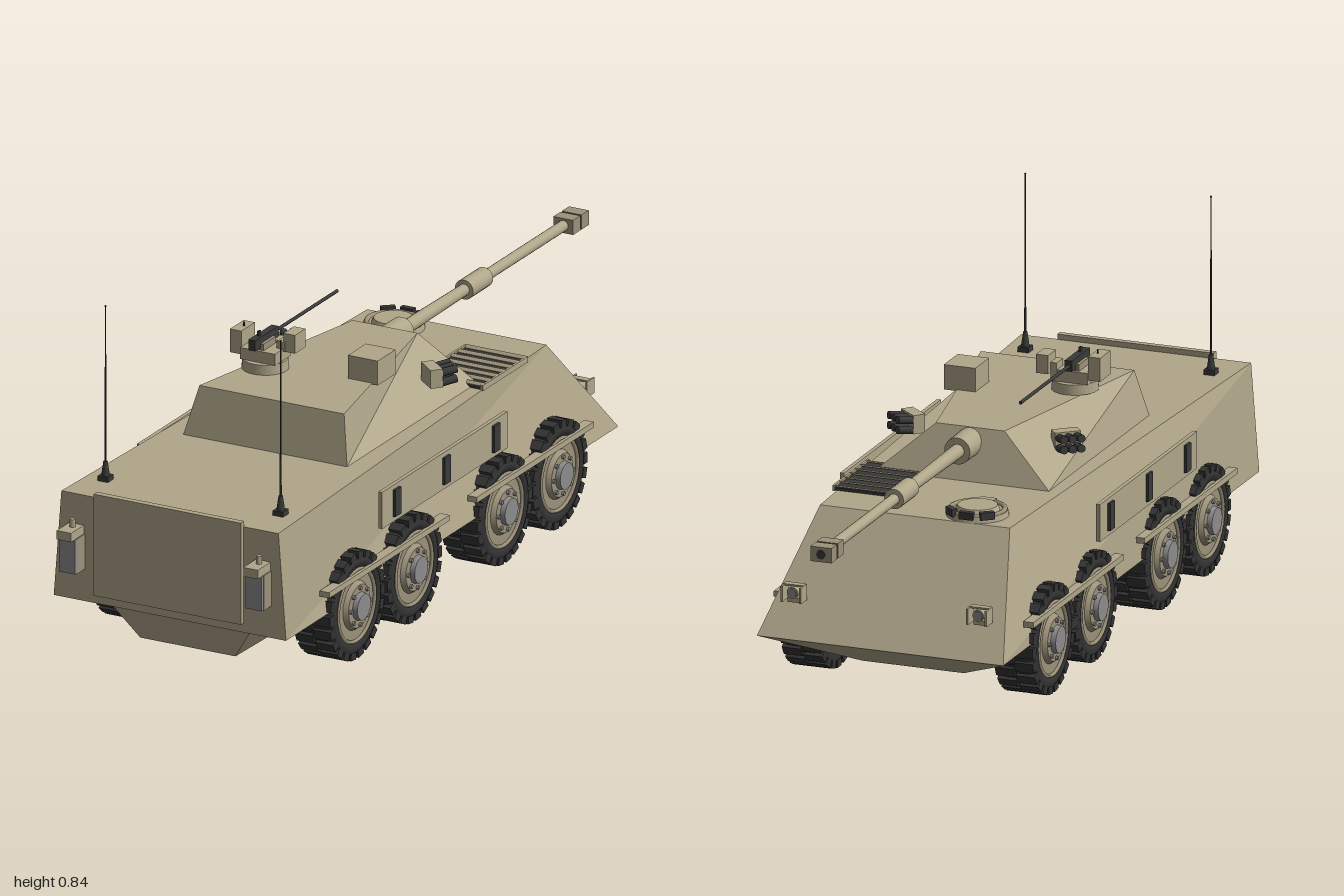
import * as THREE from 'three';

const mat = (color) => new THREE.MeshStandardMaterial({ color });
const TAN = mat(0xb0a68a), RIM = mat(0x9c927a), DARK = mat(0x3a3a3a), RUBBER = mat(0x333333), GREY = mat(0x8c8c8c);

function add(parent, name, geo, material, x = 0, y = 0, z = 0) {
  const m = new THREE.Mesh(geo, material);
  m.name = name;
  m.position.set(x, y, z);
  parent.add(m);
  return m;
}
const box = (p, name, material, w, h, d, x, y, z) => add(p, name, new THREE.BoxGeometry(w, h, d), material, x, y, z);

// cylinder along 'x', 'y' or 'z'
function cyl(p, name, material, axis, r1, r2, len, x, y, z, seg = 20) {
  const g = new THREE.CylinderGeometry(r2, r1, len, seg);
  if (axis === 'x') g.rotateZ(-Math.PI / 2);
  if (axis === 'z') g.rotateX(Math.PI / 2);
  return add(p, name, g, material, x, y, z);
}
function group(parent, name, x = 0, y = 0, z = 0) {
  const g = new THREE.Group();
  g.name = name;
  g.position.set(x, y, z);
  parent.add(g);
  return g;
}

// six-sided block between two levels, each { y, rear: [z, halfWidth], front: [z, halfWidth] }
function wedge(lo, hi) {
  const ring = ({ y, rear, front }) => [
    [rear[1], y, rear[0]], [front[1], y, front[0]], [-front[1], y, front[0]], [-rear[1], y, rear[0]]];
  const a = ring(lo), b = ring(hi), pos = [];
  const quad = (p, q, r, s) => pos.push(...p, ...q, ...r, ...p, ...r, ...s);
  for (let i = 0; i < 4; i++) {
    const j = (i + 1) % 4;
    quad(a[i], a[j], b[j], b[i]);
  }
  quad(b[0], b[1], b[2], b[3]);
  quad(a[3], a[2], a[1], a[0]);
  const g = new THREE.BufferGeometry();
  g.setAttribute('position', new THREE.Float32BufferAttribute(pos, 3));
  g.computeVertexNormals();
  return g;
}

// wheel with its outer face towards +x
function wheel(parent, side, z) {
  const w = group(parent, 'wheel', side * 0.265, 0.13, z);
  if (side < 0) w.rotation.y = Math.PI;
  const profile = [[0.085, -0.044], [0.108, -0.05], [0.12, -0.043], [0.123, -0.03],
    [0.123, 0.03], [0.12, 0.043], [0.108, 0.05], [0.092, 0.047], [0.088, 0.036]];
  const tyre = new THREE.LatheGeometry(profile.map(([r, t]) => new THREE.Vector2(r, t)), 36);
  tyre.rotateZ(-Math.PI / 2);
  add(w, 'tyre', tyre, RUBBER);
  const n = 22;
  for (let i = 0; i < n * 2; i++) { // two staggered rows of tread blocks
    const row = i % 2, a = (i / (n * 2)) * Math.PI * 2;
    const lug = box(w, 'treadBlock', RUBBER, 0.047, 0.018, 0.025, row ? 0.025 : -0.025, Math.cos(a) * 0.121, Math.sin(a) * 0.121);
    lug.rotation.x = a;
  }
  cyl(w, 'innerDisc', DARK, 'x', 0.09, 0.09, 0.02, -0.036, 0, 0, 28);
  cyl(w, 'rim', RIM, 'x', 0.091, 0.086, 0.07, 0.008, 0, 0, 32);
  const lip = new THREE.TorusGeometry(0.087, 0.005, 6, 32).rotateY(Math.PI / 2);
  add(w, 'rimLip', lip, RIM, 0.045);
  cyl(w, 'hubPlate', RIM, 'x', 0.06, 0.052, 0.012, 0.048, 0, 0, 24);
  cyl(w, 'hubCap', GREY, 'x', 0.035, 0.032, 0.02, 0.056, 0, 0, 16);
  for (let i = 0; i < 8; i++) {
    const a = (i / 8) * Math.PI * 2;
    cyl(w, 'wheelNut', GREY, 'x', 0.005, 0.005, 0.008, 0.056, Math.cos(a) * 0.045, Math.sin(a) * 0.045, 6);
  }
}

function buildSide(root, s) {
  for (const z of [0.617, 0.345, -0.083, -0.345]) wheel(root, s, z);
  // fender rails
  for (const [z0, z1] of [[0.195, 0.765], [-0.49, 0.065]])
    box(root, 'fenderRail', TAN, 0.025, 0.014, z1 - z0, s * 0.309, 0.206, (z0 + z1) / 2);
  // stand-off side panel with dark straps
  box(root, 'sidePanel', TAN, 0.01, 0.09, 0.595, s * 0.317, 0.331, 0.2175);
  for (const z of [0.45, 0.215, -0.02]) box(root, 'panelStrap', DARK, 0.007, 0.066, 0.028, s * 0.325, 0.332, z);

  // rear lamp unit
  const lamp = group(root, 'rearLamp', s * 0.245, 0, 0);
  box(lamp, 'lampHousing', RIM, 0.044, 0.086, 0.04, 0, 0.272, 0.957);
  box(lamp, 'lampFace', GREY, 0.042, 0.084, 0.01, 0, 0.272, 0.98);
  box(lamp, 'lampHood', TAN, 0.038, 0.022, 0.062, 0, 0.325, 0.969);
  cyl(lamp, 'lampStud', TAN, 'y', 0.007, 0.007, 0.02, 0, 0.345, 0.96, 10);

  // whip aerial
  const aerial = group(root, 'aerial', s * 0.23, 0.41, 0.83);
  box(aerial, 'aerialFoot', DARK, 0.027, 0.012, 0.027, 0, 0.006, 0);
  cyl(aerial, 'aerialSpring', DARK, 'y', 0.01, 0.005, 0.035, 0, 0.029, 0, 12);
  cyl(aerial, 'aerialRod', DARK, 'y', 0.0025, 0.0013, 0.38, 0, 0.237, 0, 6);
  add(aerial, 'aerialTip', new THREE.SphereGeometry(0.0025, 8, 6), DARK, 0, 0.427, 0);

  // headlight on a bracket with a guard frame
  const head = group(root, 'headlight', s * 0.23, 0.25, -0.585);
  box(head, 'lightBracket', TAN, 0.03, 0.012, 0.05, 0, -0.017, 0.015);
  cyl(head, 'lightBody', TAN, 'z', 0.014, 0.014, 0.028, 0, 0.002, -0.004, 14);
  cyl(head, 'lightLens', GREY, 'z', 0.011, 0.011, 0.006, 0, 0.002, -0.018, 14);
  for (const t of [-1, 1]) box(head, 'lightGuard', TAN, 0.005, 0.038, 0.036, t * 0.023, 0, -0.01);
  box(head, 'lightGuardTop', TAN, 0.05, 0.004, 0.018, 0, 0.019, -0.004);

  // smoke launchers, angled outward
  const smoke = group(root, 'smokeLauncher', s * 0.197, 0.482, 0.03);
  smoke.rotation.y = -s * 0.7;
  box(smoke, 'launcherMount', TAN, 0.062, 0.045, 0.03, 0, 0, 0.012);
  for (const row of [-1, 1]) for (const c of [-1, 0, 1]) {
    const tube = cyl(smoke, 'launcherTube', DARK, 'z', 0.0095, 0.0095, 0.045, c * 0.021, row * 0.012, -0.018, 12);
    tube.rotation.x = 0.15;
  }
}

function buildHull(root) {
  add(root, 'upperHull', wedge(
    { y: 0.15, rear: [0.94, 0.305], front: [-0.635, 0.305] },
    { y: 0.41, rear: [0.94, 0.285], front: [-0.42, 0.235] }), TAN);
  add(root, 'lowerHull', wedge(
    { y: 0.05, rear: [0.855, 0.125], front: [-0.43, 0.125] },
    { y: 0.15, rear: [0.895, 0.195], front: [-0.635, 0.305] }), TAN);
  box(root, 'rearDoor', TAN, 0.387, 0.25, 0.016, 0, 0.298, 0.945);

  // engine grille
  box(root, 'grilleBed', DARK, 0.16, 0.008, 0.21, 0.167, 0.413, -0.2);
  for (let i = 0; i < 7; i++) {
    const slat = box(root, 'grilleSlat', RIM, 0.16, 0.004, 0.013, 0.167, 0.419, -0.3 + i * 0.033);
    slat.rotation.x = 0.3;
  }
  for (const x of [0.087, 0.247]) box(root, 'grilleFrame', TAN, 0.006, 0.014, 0.215, x, 0.415, -0.2);

  // driver hatch with vision blocks
  const hatch = group(root, 'driverHatch', -0.127, 0.41, -0.35);
  cyl(hatch, 'hatchBase', TAN, 'y', 0.073, 0.07, 0.014, 0, 0.006, 0, 28);
  add(hatch, 'hatchRing', new THREE.TorusGeometry(0.063, 0.006, 8, 32).rotateX(Math.PI / 2), RIM, 0, 0.014, 0);
  cyl(hatch, 'hatchLid', TAN, 'y', 0.052, 0.046, 0.012, 0, 0.018, 0, 28);
  box(hatch, 'hatchHinge', TAN, 0.04, 0.014, 0.018, 0, 0.013, 0.062);
  for (const a of [-0.7, 0, 0.7]) {
    const v = box(hatch, 'visionBlock', DARK, 0.034, 0.018, 0.014, Math.sin(a) * 0.068, 0.017, -Math.cos(a) * 0.068);
    v.rotation.y = -a;
  }
}

function buildTurret(root) {
  add(root, 'turret', wedge(
    { y: 0.41, rear: [0.488, 0.215], front: [-0.13, 0.215] },
    { y: 0.525, rear: [0.457, 0.19], front: [-0.08, 0.085] }), TAN);
  box(root, 'sightBox', TAN, 0.078, 0.06, 0.085, 0.126, 0.552, 0.21);

  // main gun, from turret to muzzle
  const gun = group(root, 'mainGun', 0, 0.49, 0);
  cyl(gun, 'mantlet', TAN, 'z', 0.032, 0.034, 0.11, 0, 0, -0.105, 24);
  cyl(gun, 'barrelBase', TAN, 'z', 0.014, 0.017, 0.31, 0, 0, -0.305);
  cyl(gun, 'barrelSleeve', TAN, 'z', 0.024, 0.024, 0.095, 0, 0, -0.502);
  cyl(gun, 'barrel', TAN, 'z', 0.013, 0.013, 0.39, 0, 0, -0.735);
  for (const z of [-0.942, -0.982]) box(gun, 'muzzleBrake', RIM, 0.052, 0.036, 0.034, 0, 0, z);
  box(gun, 'muzzleCore', DARK, 0.042, 0.03, 0.07, 0, 0, -0.962);
  cyl(gun, 'muzzleBore', DARK, 'z', 0.011, 0.011, 0.002, 0, 0, -0.9992);

  // remote weapon station
  const rws = group(root, 'weaponStation', -0.115, 0.525, 0.28);
  cyl(rws, 'stationRing', TAN, 'y', 0.055, 0.053, 0.024, 0, 0.012, 0, 28);
  box(rws, 'stationBody', TAN, 0.092, 0.028, 0.075, 0, 0.038, 0);
  box(rws, 'ammoBox', TAN, 0.03, 0.057, 0.065, -0.06, 0.062, 0);
  box(rws, 'stationSight', TAN, 0.03, 0.045, 0.05, 0.06, 0.067, -0.03);
  box(rws, 'sightArm', TAN, 0.02, 0.022, 0.04, 0.04, 0.058, -0.02);
  cyl(rws, 'sightPin', DARK, 'y', 0.002, 0.002, 0.012, -0.056, 0.095, 0, 8);
  box(rws, 'cradle', RIM, 0.034, 0.02, 0.06, -0.005, 0.058, 0);
  box(rws, 'gunBody', DARK, 0.018, 0.026, 0.11, -0.005, 0.07, 0);
  box(rws, 'gunSight', DARK, 0.005, 0.014, 0.01, -0.005, 0.088, 0.02);
  cyl(rws, 'gunBarrel', DARK, 'z', 0.004, 0.004, 0.3, -0.005, 0.069, -0.2, 10);
}

export function createModel() {
  const root = new THREE.Group();
  root.name = 'armouredVehicle';
  buildHull(root);
  buildTurret(root);
  for (const s of [-1, 1]) buildSide(root, s);
  return root;
}
